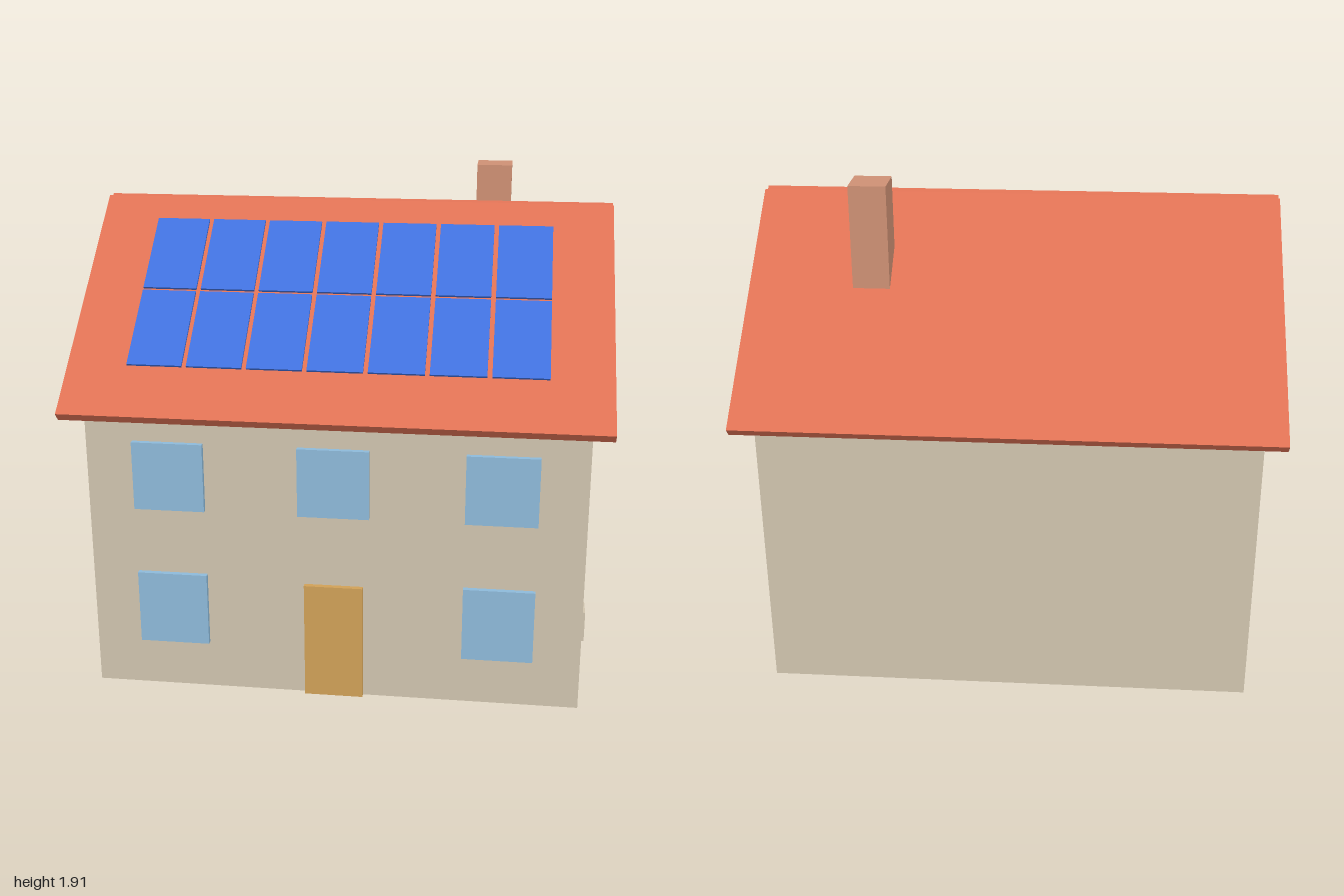
import * as THREE from 'three';

const mat = (name, color) => {
  const m = new THREE.MeshStandardMaterial({ color });
  m.name = name;
  return m;
};

export function createModel() {
  const house = new THREE.Group();
  house.name = 'house';
  const wall = mat('wall beige', 0xd0c4ae);
  const tile = mat('roof terracotta', 0xde7154);
  const brick = mat('chimney brick', 0xce9074);
  const glass = mat('window blue', 0x8db9d9);
  const wood = mat('door wood', 0xd0a057);
  const solar = mat('solar blue', 0x4070dc);

  // Box given by its minimum and maximum corners
  const box = (name, material, [x0, y0, z0], [x1, y1, z1], parent = house) => {
    const mesh = new THREE.Mesh(new THREE.BoxGeometry(x1 - x0, y1 - y0, z1 - z0), material);
    mesh.position.set((x0 + x1) / 2, (y0 + y1) / 2, (z0 + z1) / 2);
    mesh.name = name;
    parent.add(mesh);
  };

  const W = 0.927, D = 0.72, RIDGE = 1.765, PITCH = THREE.MathUtils.degToRad(39.85);
  const eave = RIDGE - D * Math.tan(PITCH);

  // Walls: gabled profile extruded along x
  const profile = new THREE.Shape([[-D, 0], [D, 0], [D, eave], [0, RIDGE], [-D, eave]]
    .map(([a, b]) => new THREE.Vector2(a, b)));
  const body = new THREE.ExtrudeGeometry(profile, { depth: 2 * W, bevelEnabled: false });
  body.translate(0, 0, -W).rotateY(Math.PI / 2);
  const walls = new THREE.Mesh(body, wall);
  walls.name = 'walls';
  house.add(walls);

  // Roof slopes hang from the ridge; local z runs down the slope, y is its normal
  const slope = (name, turn) => {
    const side = new THREE.Group();
    side.name = name;
    side.position.y = RIDGE;
    side.rotation.set(PITCH, turn, 0, 'YXZ');
    box('roofSlab', tile, [-1, 0, 0], [1, 0.039, 1.038], side);
    house.add(side);
    return side;
  };
  const frontSlope = slope('frontRoof', 0);
  slope('backRoof', Math.PI);

  // Solar panels: two rows of seven, raised slightly above the front slope
  for (let row = 0; row < 2; row++) {
    for (let col = 0; col < 7; col++) {
      const x = -0.77 + col * 0.2225, z = 0.132 + row * 0.353;
      box('solarPanel', solar, [x, 0.053, z], [x + 0.205, 0.062, z + 0.341], frontSlope);
    }
  }

  box('chimney', brick, [0.465, 1.4, -0.362], [0.605, 1.907, -0.218], house);

  // Front windows and door
  for (const x of [-0.617, 0, 0.617]) {
    box('upperFrontWindow', glass, [x - 0.133, 0.738, D - 0.01], [x + 0.133, 1.003, 0.74]);
    if (x) box('lowerFrontWindow', glass, [x - 0.133, 0.19, D - 0.01], [x + 0.133, 0.477, 0.74]);
  }
  box('door', wood, [-0.112, 0, D - 0.01], [0.11, 0.457, 0.74]);

  // Windows and meter box on the +x gable
  for (const z of [-0.31, 0.313]) {
    box('upperSideWindow', glass, [W - 0.01, 0.737, z - 0.123], [0.942, 1.005, z + 0.123]);
    box('lowerSideWindow', glass, [W - 0.01, 0.2, z - 0.123], [0.942, 0.467, z + 0.123]);
  }
  box('meterBox', wall, [W - 0.01, 0.19, 0.453], [0.948, 0.312, 0.546]);

  return house;
}
